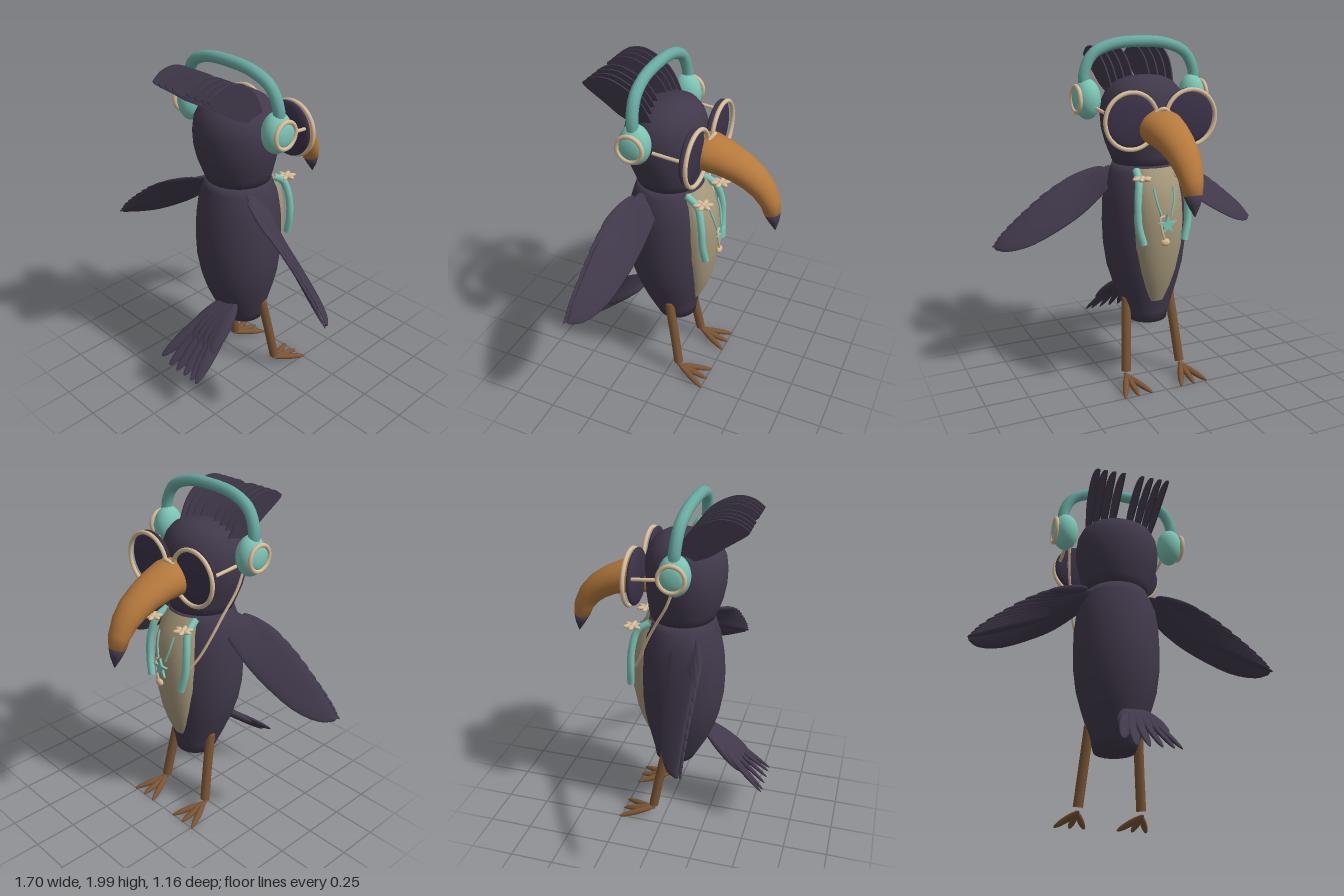
import * as THREE from 'three';

const V = (x, y, z) => new THREE.Vector3(x, y, z);
const paint = (name, color, side = THREE.FrontSide) => {
  const m = new THREE.MeshStandardMaterial({ color, side });
  m.name = name;
  return m;
};

// Skin a list of elliptical sections [centre, U, V], where U x V points along the list
function loft(frames, n = 28) {
  const pos = [], idx = [];
  for (const [c, u, v] of frames) {
    for (let j = 0; j < n; j++) {
      const a = (j / n) * Math.PI * 2;
      pos.push(...c.clone().addScaledVector(u, Math.cos(a)).addScaledVector(v, Math.sin(a)).toArray());
    }
  }
  const last = frames.length - 1, a0 = frames.length * n;
  pos.push(...frames[0][0].toArray(), ...frames[last][0].toArray());
  for (let j = 0; j < n; j++) {
    const k = (j + 1) % n;
    for (let i = 0; i < last; i++) {
      const p = i * n, q = p + n;
      idx.push(p + j, p + k, q + j, p + k, q + k, q + j);
    }
    idx.push(a0, k, j, a0 + 1, last * n + j, last * n + k);
  }
  const g = new THREE.BufferGeometry();
  g.setAttribute('position', new THREE.Float32BufferAttribute(pos, 3));
  g.setIndex(idx);
  g.computeVertexNormals();
  return g;
}

// Upright section: height, radius across x, radius along z, z centre
const level = ([y, rx, rz, cz]) => [V(0, y, cz), V(0, 0, rz), V(rx, 0, 0)];

export function createModel() {
  const root = new THREE.Group();
  root.name = 'bird';
  const plumage = paint('plumage', 0x41394b);
  const lensDark = paint('lensDark', 0x3a3248);
  const bellyTan = paint('bellyTan', 0xa4977a, THREE.DoubleSide);
  const beakOrange = paint('beakOrange', 0xb5793c);
  const legBrown = paint('legBrown', 0x7a5534);
  const teal = paint('teal', 0x7cc4b5);
  const bandTeal = paint('bandTeal', 0x68aaa1);
  const cream = paint('cream', 0xd6bc98);

  const add = (name, geo, mat, parent = root) => {
    const m = new THREE.Mesh(geo, mat);
    m.name = name;
    parent.add(m);
    return m;
  };
  const group = (name) => {
    const g = new THREE.Group();
    g.name = name;
    root.add(g);
    return g;
  };
  const tube = (name, pts, r, mat, parent) =>
    add(name, new THREE.TubeGeometry(new THREE.CatmullRomCurve3(pts), 28, r, 10), mat, parent);
  const blob = (name, p, sx, sy, sz, mat, parent) =>
    add(name, new THREE.SphereGeometry(1, 28, 18).scale(sx, sy, sz).translate(p.x, p.y, p.z), mat, parent);
  const ring = (name, p, R, r, mat, parent, turn = 0) =>
    add(name, new THREE.TorusGeometry(R, r, 10, 40).rotateY(turn).translate(p.x, p.y, p.z), mat, parent);
  // Flattened spindle from base to tip
  const leaf = (name, base, tip, width, thick, normal, mat, parent) => {
    const d = tip.clone().sub(base);
    const x = d.clone().cross(normal).normalize();
    const z = x.clone().cross(d).normalize();
    const m = new THREE.Matrix4().makeBasis(x.multiplyScalar(width / 2), d.clone().multiplyScalar(0.5), z.multiplyScalar(thick / 2));
    m.setPosition(base.clone().add(tip).multiplyScalar(0.5));
    return add(name, new THREE.SphereGeometry(1, 12, 14).applyMatrix4(m), mat, parent);
  };

  // Body and head
  add('body', loft([
    [0.37, 0.115, 0.117, 0.022], [0.43, 0.135, 0.138, 0.035], [0.5, 0.16, 0.165, 0.047], [0.6, 0.195, 0.198, 0.057],
    [0.7, 0.224, 0.222, 0.063], [0.82, 0.24, 0.24, 0.066], [0.95, 0.245, 0.244, 0.066], [1.08, 0.242, 0.236, 0.064],
    [1.19, 0.228, 0.216, 0.063], [1.26, 0.2, 0.194, 0.063], [1.305, 0.178, 0.182, 0.063]].map(level)), plumage);
  add('head', loft([
    [1.3, 0.178, 0.18, 0.063], [1.35, 0.195, 0.194, 0.068], [1.42, 0.22, 0.21, 0.077], [1.5, 0.24, 0.222, 0.08],
    [1.58, 0.246, 0.225, 0.08], [1.65, 0.236, 0.218, 0.079], [1.71, 0.21, 0.192, 0.073], [1.755, 0.165, 0.145, 0.06],
    [1.782, 0.1, 0.088, 0.048], [1.792, 0.03, 0.03, 0.04]].map(level)), plumage);

  // Belly: bowed patch on the chest; rows are height, half width, edge z, front z
  const rows = [[0.515, 0.045, -0.1, -0.13], [0.6, 0.075, -0.115, -0.168], [0.7, 0.105, -0.125, -0.2], [0.85, 0.136, -0.13, -0.226],
    [1.0, 0.146, -0.128, -0.232], [1.12, 0.142, -0.122, -0.22], [1.22, 0.13, -0.106, -0.185], [1.295, 0.115, -0.07, -0.13]];
  const belly = new THREE.PlaneGeometry(1, 1, 16, rows.length - 1);
  const bp = belly.attributes.position;
  for (let i = 0; i < bp.count; i++) {
    const [y, w, edge, front] = rows[Math.floor(i / 17)];
    const a = ((i % 17) / 16 - 0.5) * Math.PI;
    bp.setXYZ(i, w * Math.sin(a), y, edge + (front - edge) * Math.cos(a));
  }
  belly.computeVertexNormals();
  add('belly', belly, bellyTan);

  // Curved beak with a dark tip; rows are y, z, half width, half depth
  const beakRows = [[1.535, -0.06, 0.13, 0.095], [1.52, -0.18, 0.129, 0.1], [1.5, -0.26, 0.115, 0.092], [1.465, -0.35, 0.1, 0.083],
    [1.42, -0.425, 0.088, 0.076], [1.365, -0.482, 0.076, 0.067], [1.295, -0.524, 0.062, 0.056], [1.23, -0.54, 0.05, 0.045],
    [1.18, -0.553, 0.032, 0.028], [1.125, -0.563, 0.003, 0.003]];
  const beakFrames = beakRows.map(([y, z, w, h], i) => {
    const p = beakRows[Math.max(i - 1, 0)], q = beakRows[Math.min(i + 1, 9)];
    const d = V(0, q[0] - p[0], q[1] - p[1]).normalize();
    return [V(0, y, z), V(w, 0, 0), d.cross(V(1, 0, 0)).multiplyScalar(h)];
  });
  add('beak', loft(beakFrames.slice(0, 8)), beakOrange);
  add('beakTip', loft(beakFrames.slice(7)), plumage);

  // Crest: thin upright blades swept backwards
  const crest = group('crest');
  const blade = new THREE.Shape();
  blade.moveTo(0.06, 1.7);
  blade.splineThru([[0.12, 1.82], [0.19, 1.89], [0.297, 1.938], [0.39, 1.93], [0.455, 1.89]].map((p) => new THREE.Vector2(...p)));
  blade.splineThru([[0.44, 1.866], [0.34, 1.795], [0.25, 1.73], [0.15, 1.69]].map((p) => new THREE.Vector2(...p)));
  for (const x of [-0.185, -0.145, -0.1, -0.05, 0.05, 0.1, 0.145, 0.185]) {
    const g = new THREE.ExtrudeGeometry(blade, { depth: 0.008, bevelEnabled: false, curveSegments: 16 });
    g.translate(0, -1.7, -0.004).rotateY(-Math.PI / 2).rotateZ(-x * 0.6);
    add('crestFeather', g.translate(x, 1.7, 0), plumage, crest);
  }

  // Wings: lofted blade with layered feathers on the trailing edge
  const lead = new THREE.CatmullRomCurve3([V(0.17, 1.22, 0.04), V(0.35, 1.045, 0.065), V(0.5, 0.945, 0.09), V(0.67, 0.855, 0.135), V(0.79, 0.82, 0.2), V(0.835, 0.822, 0.255)]);
  const trail = new THREE.CatmullRomCurve3([V(0.17, 1.27, 0.17), V(0.34, 1.21, 0.235), V(0.52, 1.12, 0.255), V(0.68, 1.0, 0.262), V(0.79, 0.9, 0.268), V(0.84, 0.835, 0.27)]);
  for (const s of [1, -1]) {
    const wing = group(s > 0 ? 'leftWing' : 'rightWing');
    const flip = V(s, 1, 1);
    const along = V(0.82 * s, -0.57, 0);
    const frames = [];
    for (let i = 0; i <= 14; i++) {
      const a = lead.getPoint(i / 14).multiply(flip), b = trail.getPoint(i / 14).multiply(flip);
      const u = a.clone().sub(b).multiplyScalar(0.5);
      const v = along.clone().cross(u).normalize().multiplyScalar(0.018 - 0.011 * (i / 14));
      frames.push([a.add(b).multiplyScalar(0.5), u, v]);
    }
    add('wingBlade', loft(frames, 20), plumage, wing);
    for (let i = 0; i < 11; i++) {
      const t = i / 10;
      const tip = trail.getPoint(0.3 + 0.7 * t).add(V(0.01, -0.005, 0.016)).multiply(flip);
      const base = V(0.2, 1.26 - 0.06 * t, 0.19 - 0.1 * t).multiply(flip);
      leaf('wingFeather', base, tip, 0.06, 0.026, V(0.35 * s, 0.65, -0.5), plumage, wing);
    }
  }

  // Tail fan
  const tail = group('tail');
  [-0.115, -0.05, 0.015, 0.08, 0.14, 0.18].forEach((x, i) => {
    const base = V(0.03 + i * 0.015, 0.56, 0.19);
    const mid = V(base.x * 0.3 + x * 0.7, 0.36, 0.44);
    leaf('tailFeather', base, V(x, 0.235 + (i === 0 ? 0.03 : 0), 0.58), 0.075, 0.03, V(0.5, 0.7, 0.5), plumage, tail);
    leaf('tailCovert', base, mid, 0.09, 0.05, V(0.2, 0.8, 0.5), plumage, tail);
  });

  for (const s of [1, -1]) {
    // Legs and feet
    const leg = group(s > 0 ? 'leftLeg' : 'rightLeg');
    tube('shank', [V(0.14 * s, 0.5, 0.01), V(0.157 * s, 0.29, -0.03), V(0.175 * s, 0.08, -0.066)], 0.028, legBrown, leg);
    blob('hip', V(0.14 * s, 0.5, 0.01), 0.028, 0.028, 0.028, legBrown, leg);
    for (const dx of [-0.085, 0, 0.085]) {
      leaf('toe', V(0.178 * s - dx * 0.1, 0.06, -0.055), V(0.178 * s + dx, 0.012, -0.26), 0.036, 0.036, V(0, 1, 0), legBrown, leg);
    }

    // Glasses
    const glass = group(s > 0 ? 'leftGlass' : 'rightGlass');
    blob('lens', V(0.175 * s, 1.575, -0.143), 0.153, 0.155, 0.029, lensDark, glass);
    ring('rim', V(0.175 * s, 1.57, -0.172), 0.152, 0.012, cream, glass);
    tube('templeArm', [V(0.3 * s, 1.61, -0.13), V(0.3 * s, 1.615, -0.06), V(0.3 * s, 1.622, 0.02)], 0.01, cream, glass);

    // Headphone cups
    const cup = group(s > 0 ? 'leftCup' : 'rightCup');
    blob('cupShell', V(0.322 * s, 1.665, 0.105), 0.075, 0.112, 0.085, teal, cup);
    ring('cupRim', V(0.385 * s, 1.667, 0.105), 0.071, 0.012, cream, cup, Math.PI / 2);
    blob('cupFace', V(0.378 * s, 1.667, 0.105), 0.02, 0.066, 0.066, teal, cup);

    // Chest straps and flowers
    tube('strap', [V(0.115 * s, 1.285, -0.09), V(0.13 * s, 1.235, -0.16), V(0.15 * s, 1.13, -0.19), V(0.15 * s, 1.0, -0.2), V(0.125 * s, 0.89, -0.21)], 0.021, teal);
    const flower = group('flower');
    const c = V(0.125 * s, 1.255, -0.19);
    for (let k = 0; k < 6; k++) {
      const a = (k / 6) * Math.PI * 2;
      leaf('petal', c.clone(), c.clone().add(V(0.056 * Math.cos(a), 0.004, 0.056 * Math.sin(a))), 0.03, 0.022, V(0, 1, 0), cream, flower);
    }
    blob('flowerCentre', c, 0.016, 0.016, 0.016, cream, flower);
    tube('pendantString', [V(0.06 * s, 1.2, -0.2), V(0.052 * s, 1.13, -0.222), V(0.03 * s, 1.05, -0.238)], 0.006, teal);
  }
  tube('glassesBridge', [V(-0.04, 1.61, -0.178), V(0, 1.63, -0.195), V(0.04, 1.61, -0.178)], 0.011, cream);

  // Headband and cord
  tube('headband', [V(-0.335, 1.72, 0.105), V(-0.335, 1.8, 0.11), V(-0.285, 1.9, 0.118), V(-0.17, 1.953, 0.125), V(0, 1.968, 0.127),
    V(0.17, 1.953, 0.125), V(0.285, 1.9, 0.118), V(0.335, 1.8, 0.11), V(0.335, 1.72, 0.105)], 0.032, bandTeal);
  tube('cord', [V(-0.29, 1.58, 0.09), V(-0.282, 1.47, 0.05), V(-0.255, 1.34, -0.02), V(-0.23, 1.22, -0.08), V(-0.19, 1.1, -0.13), V(-0.15, 1.02, -0.17)], 0.008, cream);

  // Pendant: star, hook and drop
  const star = new THREE.Shape();
  for (let i = 0; i < 10; i++) {
    const r = i % 2 ? 0.022 : 0.06, a = Math.PI / 2 + (i * Math.PI) / 5;
    star[i ? 'lineTo' : 'moveTo'](r * Math.cos(a), r * Math.sin(a));
  }
  add('pendantStar', new THREE.ExtrudeGeometry(star, { depth: 0.014, bevelEnabled: false }).translate(0, 1.0, -0.256), teal);
  tube('pendantHook', [V(0.015, 1.05, -0.244), V(0.04, 1.04, -0.245), V(0.035, 0.98, -0.25), V(0.015, 0.91, -0.25)], 0.007, cream);
  blob('pendantDrop', V(0.012, 0.902, -0.248), 0.027, 0.022, 0.016, cream);
  return root;
}
